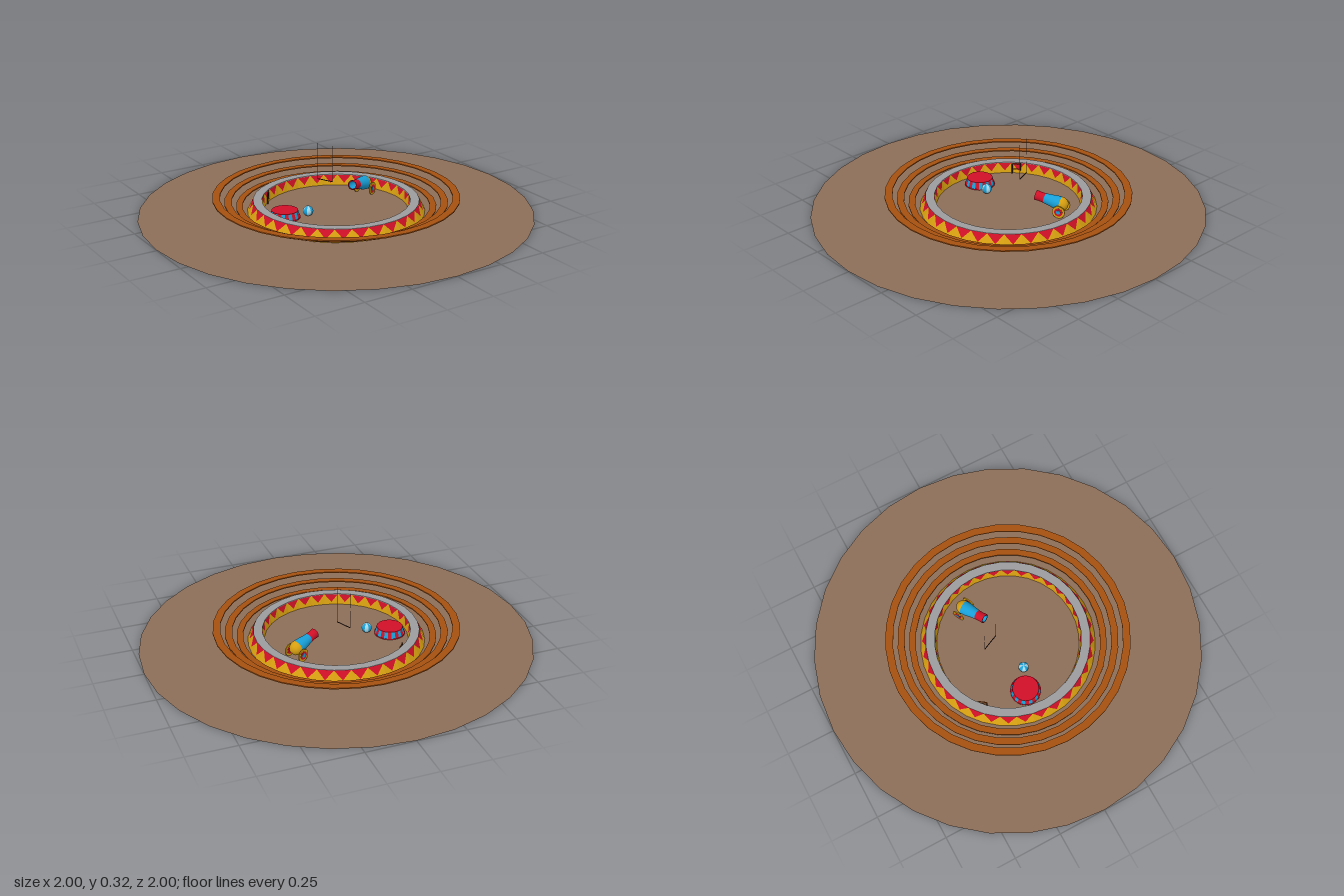
import * as THREE from 'three';

const mat = (name, color, double) => {
  const m = new THREE.MeshStandardMaterial({ color });
  m.name = name;
  if (double) m.side = THREE.DoubleSide;
  return m;
};

export function createModel() {
  const M = {
    earth: mat('earth brown', 0x8d6e58, true),
    wood: mat('bench wood', 0xa5500f),
    gold: mat('gold', 0xd8a010, true),
    red: mat('red', 0xd01028, true),
    grey: mat('rim grey', 0x9c9c9e),
    blue: mat('blue', 0x18a0d8, true),
    pale: mat('pale blue', 0xa8d4e2),
    dark: mat('dark brown', 0x33231a),
  };
  const root = new THREE.Group();
  root.name = 'circusRing';
  const SEG = 32;

  const add = (parent, name, geo, material, x = 0, y = 0, z = 0) => {
    const m = new THREE.Mesh(geo, material);
    m.name = name;
    m.position.set(x, y, z);
    parent.add(m);
    return m;
  };
  const flat = (geo) => {
    const g = geo.toNonIndexed();
    g.computeVertexNormals();
    return g;
  };
  const lathe = (pts, seg = SEG) =>
    new THREE.LatheGeometry(pts.map((p) => new THREE.Vector2(p[0], p[1])), seg);
  // flat ring with a rectangular section
  const ring = (inner, outer, y0, y1) =>
    flat(lathe([[inner, y0], [outer, y0], [outer, y1], [inner, y1], [inner, y0]]));

  // ground disc, with the gold foot of the ring just under it
  add(root, 'ground', new THREE.CircleGeometry(1, SEG).rotateX(-Math.PI / 2), M.earth, 0, 0.002, 0);
  add(root, 'ringFoot', new THREE.RingGeometry(0.425, 0.452, SEG).rotateX(Math.PI / 2), M.gold);

  // sloping wall, each facet gold with one red pennant pointing down
  function pennantWall(name, rBottom, rTop, height, inward) {
    const gold = [], red = [];
    const at = (a, r, y) => new THREE.Vector3(Math.sin(a) * r, y, Math.cos(a) * r);
    const face = (list, a, b, c) => {
      for (const p of inward ? [a, c, b] : [a, b, c]) list.push(p.x, p.y, p.z);
    };
    for (let i = 0; i < SEG; i++) {
      const a0 = (i / SEG) * Math.PI * 2, a1 = ((i + 1) / SEG) * Math.PI * 2;
      const b0 = at(a0, rBottom, 0), b1 = at(a1, rBottom, 0);
      const t0 = at(a0, rTop, height), t1 = at(a1, rTop, height);
      const tip = b0.clone().add(b1).lerp(t0.clone().add(t1), 0.25).multiplyScalar(0.5);
      face(gold, b0, b1, tip);
      face(gold, b0, tip, t0);
      face(gold, b1, t1, tip);
      face(red, t0, tip, t1);
    }
    for (const [list, m, part] of [[gold, M.gold, 'Base'], [red, M.red, 'Pennants']]) {
      const g = new THREE.BufferGeometry();
      g.setAttribute('position', new THREE.Float32BufferAttribute(list, 3));
      g.computeVertexNormals();
      add(root, name + part, g, m);
    }
  }
  pennantWall('outerWall', 0.452, 0.422, 0.058, false);
  pennantWall('innerWall', 0.367, 0.379, 0.058, true);
  add(root, 'ringTop', ring(0.376, 0.422, 0.056, 0.06), M.grey);

  // three rising bench rings
  [[0.475, 0.508, 0.03], [0.53, 0.566, 0.055], [0.588, 0.627, 0.082]].forEach(([i, o, y], n) =>
    add(root, 'bench' + (n + 1), ring(i, o, y - 0.003, y + 0.003), M.wood));

  // trapeze: two thin ropes and a bar
  const rod = (name, a, b, r, material, parent = root) => {
    const curve = new THREE.LineCurve3(new THREE.Vector3(...a), new THREE.Vector3(...b));
    return add(parent, name, new THREE.TubeGeometry(curve, 1, r, 6), material);
  };
  const trapezeEnds = [[-0.02, -0.143], [0.018, -0.06]];
  for (const [x, z] of trapezeEnds) rod('trapezeRope', [x, 0.128, z], [x, 0.32, z], 0.0012, M.earth);
  rod('trapezeBar', [-0.02, 0.128, -0.143], [0.018, 0.128, -0.06], 0.0025, M.dark);

  // performing pedestal with striped sides
  const pedestal = new THREE.Group();
  pedestal.name = 'pedestal';
  pedestal.position.set(-0.275, 0, -0.047);
  root.add(pedestal);
  const H = 0.035, step = Math.PI / 12;
  for (let i = 0; i < 24; i++) {
    add(pedestal, 'pedestalPanel',
      new THREE.CylinderGeometry(0.067, 0.078, H, 1, 1, true, i * step, step),
      i % 2 ? M.blue : M.red, 0, H / 2 + 0.002, 0);
  }
  add(pedestal, 'pedestalTop', new THREE.CylinderGeometry(0.067, 0.067, 0.004, 24), M.red, 0, H + 0.003, 0);
  add(pedestal, 'pedestalFoot', new THREE.CylinderGeometry(0.079, 0.079, 0.004, 24), M.red, 0, 0.004, 0);

  // ball with alternating stripes
  const gores = 8;
  for (let i = 0; i < gores; i++) {
    add(root, 'ballGore',
      new THREE.SphereGeometry(0.026, 3, 12, (i * 2 * Math.PI) / gores, (2 * Math.PI) / gores),
      i % 2 ? M.pale : M.blue, -0.167, 0.028, 0);
  }

  // cannon, aimed across the ring
  const cannon = new THREE.Group();
  cannon.name = 'cannon';
  cannon.position.set(0.258, 0, -0.123);
  cannon.rotation.y = -1.085;
  root.add(cannon);
  const barrel = new THREE.Group();
  barrel.name = 'barrel';
  barrel.position.y = 0.06;
  barrel.rotation.x = -0.2;
  cannon.add(barrel);
  const section = (name, pts, m) => add(barrel, name, lathe(pts, 20).rotateX(Math.PI / 2), m);
  section('breech', [[0, -0.036], [0.016, -0.033], [0.029, -0.022], [0.036, -0.006], [0.036, 0.006]], M.gold);
  section('barrelBody', [[0.036, 0.006], [0.034, 0.03], [0.029, 0.06], [0.025, 0.09]], M.blue);
  section('muzzle', [[0.025, 0.09], [0.024, 0.115], [0.026, 0.138], [0.02, 0.138]], M.red);
  section('bore', [[0.02, 0.138], [0.018, 0.1], [0, 0.1]], M.blue);
  rod('axle', [-0.046, 0.035, 0], [0.046, 0.035, 0], 0.005, M.dark, cannon);
  for (const side of [-1, 1]) {
    const disc = (name, r, w, m) => add(cannon, name,
      new THREE.CylinderGeometry(r, r, w, 16).rotateZ(Math.PI / 2), m, side * 0.045, 0.035, 0);
    disc('wheelRim', 0.033, 0.006, M.gold);
    disc('wheelPanel', 0.022, 0.008, M.red);
    disc('wheelHub', 0.011, 0.011, M.blue);
  }

  // little ladder stand near the back of the ring
  const stand = new THREE.Group();
  stand.name = 'ladderStand';
  stand.position.set(-0.24, 0, -0.275);
  stand.rotation.y = 0.95;
  root.add(stand);
  for (const x of [-0.022, 0.022]) rod('standPost', [x, 0.002, 0], [x, 0.06, 0], 0.0035, M.dark, stand);
  for (const y of [0.025, 0.055]) rod('standRung', [-0.022, y, 0], [0.022, y, 0], 0.003, M.wood, stand);

  return root;
}
